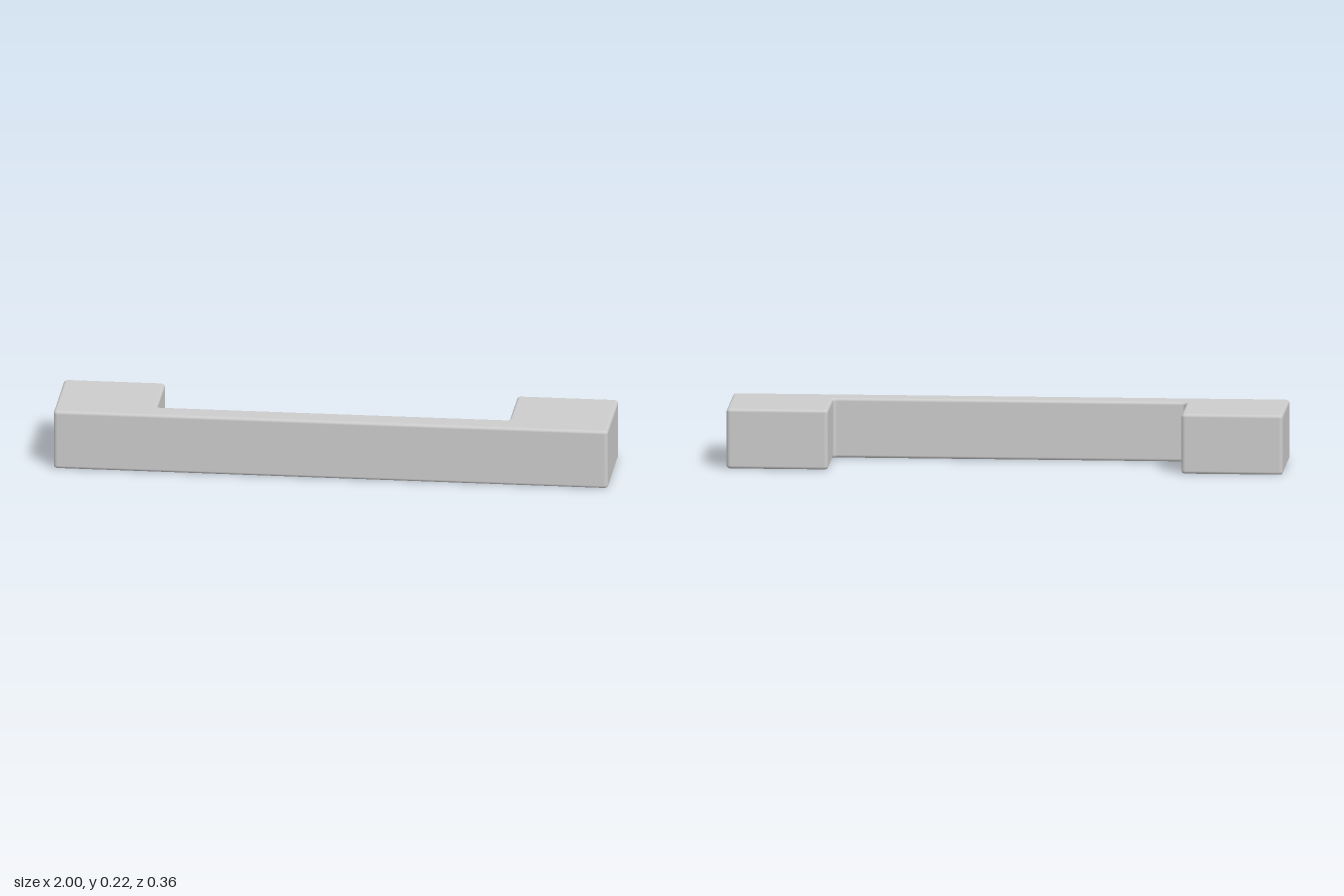
import * as THREE from 'three';
import { mergeVertices } from 'three/addons/utils/BufferGeometryUtils.js';

const HEIGHT = 0.217;
const BEVEL = 0.011;   // rounding of the top and bottom edges
const CORNER = 0.015;  // rounding of the upright edges, larger than the bevel

// Closed right-angled outline with every corner rounded by an arc of radius r
function roundedOutline(points, r) {
  const shape = new THREE.Shape();
  const v = points.map(([x, y]) => new THREE.Vector2(x, y));
  v.forEach((p, i) => {
    const back = v[(i + v.length - 1) % v.length].clone().sub(p).setLength(r);
    const ahead = v[(i + 1) % v.length].clone().sub(p).setLength(r);
    const centre = p.clone().add(back).add(ahead);
    const clockwise = back.cross(ahead) > 0;
    // seen from the centre, the arc starts opposite "ahead" and ends opposite "back"
    shape.absarc(centre.x, centre.y, r,
      Math.atan2(-ahead.y, -ahead.x), Math.atan2(-back.y, -back.x), clockwise);
  });
  shape.closePath();
  return shape;
}

export function createModel() {
  const group = new THREE.Group();
  group.name = 'barHandle';

  // Plan of the handle: long front grip with a foot at each end (shape y = -z)
  const half = [[1, -0.178], [1, 0.178], [0.635, 0.178], [0.635, -0.086]];
  const mirrored = half.map(([x, y]) => [-x, y]).reverse();
  const plan = roundedOutline([...half, ...mirrored], CORNER);

  let geometry = new THREE.ExtrudeGeometry(plan, {
    depth: HEIGHT - 2 * BEVEL,
    curveSegments: 6,
    bevelEnabled: true,
    bevelSize: BEVEL,
    bevelThickness: BEVEL,
    bevelOffset: -BEVEL,
    bevelSegments: 6,
  });
  geometry.rotateX(-Math.PI / 2);
  geometry.translate(0, BEVEL, 0);

  // Area-weighted smooth normals: flat faces stay flat, rounded edges blend
  geometry.deleteAttribute('uv');
  geometry.deleteAttribute('normal');
  geometry = mergeVertices(geometry, 1e-5);
  geometry.computeVertexNormals();

  const handle = new THREE.Mesh(geometry, new THREE.MeshStandardMaterial({ color: 0xcccccc }));
  handle.name = 'gripAndFeet';
  group.add(handle);
  return group;
}
